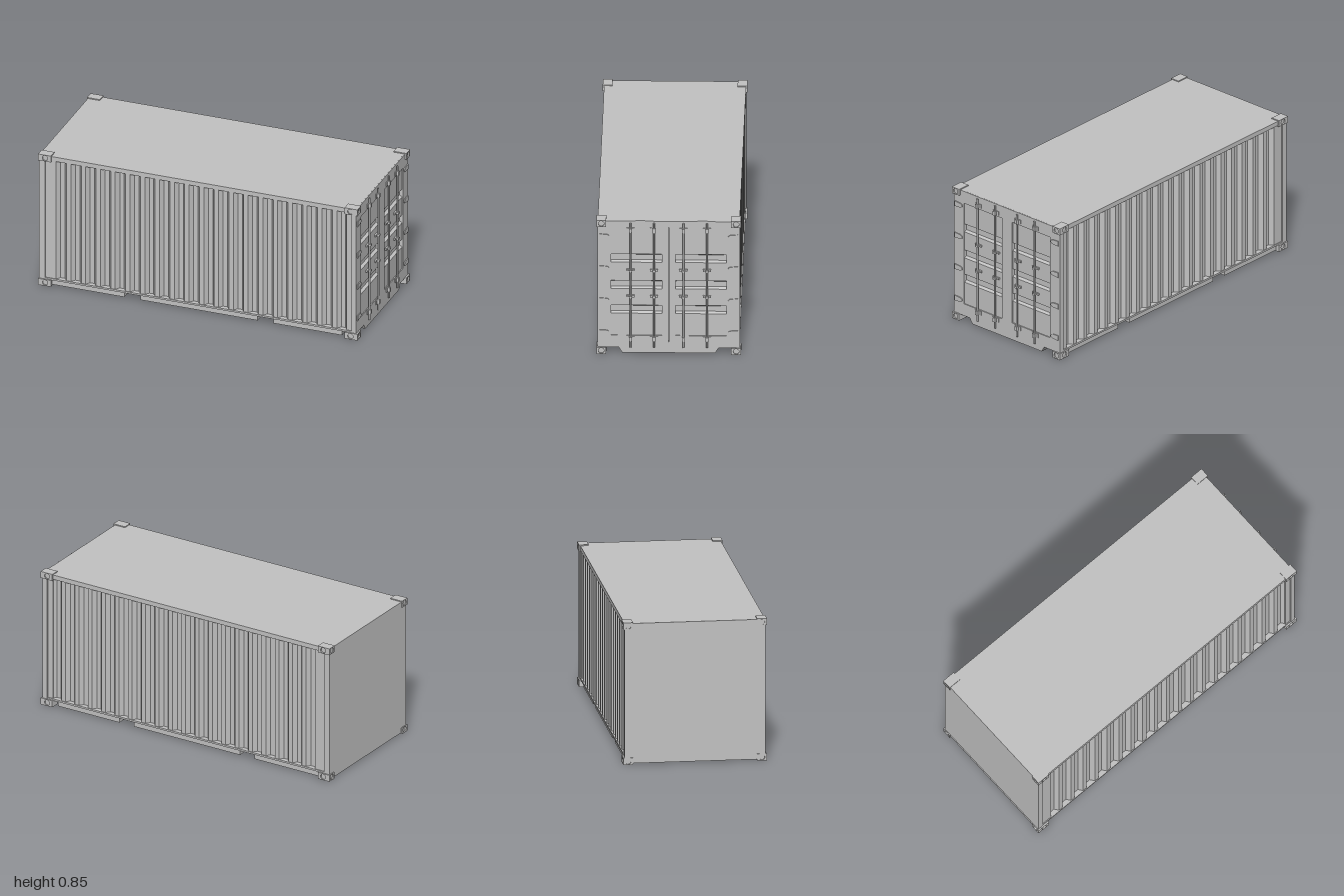
import * as THREE from 'three';

const steel = new THREE.MeshStandardMaterial({ color: 0xc2c2c2 });
steel.name = 'grey steel';

export function createModel() {
  const root = new THREE.Group();
  root.name = 'shippingContainer';

  const add = (name, geo, parent = root) => {
    const m = new THREE.Mesh(geo, steel);
    m.name = name;
    parent.add(m);
    return m;
  };
  // Box given by its min and max on each axis
  const box = (name, x0, x1, y0, y1, z0, z1, parent) =>
    add(name, new THREE.BoxGeometry(x1 - x0, y1 - y0, z1 - z0)
      .translate((x0 + x1) / 2, (y0 + y1) / 2, (z0 + z1) / 2), parent);
  const poly = (pts) => new THREE.Shape(pts.map(([a, b]) => new THREE.Vector2(a, b)));
  const rect = (a0, a1, b0, b1) => poly([[a0, b0], [a1, b0], [a1, b1], [a0, b1]]);
  const extrude = (shape, depth) =>
    new THREE.ExtrudeGeometry(shape, { depth, bevelEnabled: false, curveSegments: 10 });
  // Shape drawn in (-z, y), extruded from x0 to x1
  const extrudeX = (shape, x0, x1) => extrude(shape, x1 - x0).rotateY(Math.PI / 2).translate(x0, 0, 0);

  // Corrugated side walls: one plan outline for both sides
  const outer = 0.405, inner = 0.38, ribs = 20, pitch = 1.84 / ribs;
  const side = [];
  for (let i = 0; i < ribs; i++) {
    const x = -0.92 + i * pitch;
    side.push([x, outer], [x + 0.3 * pitch, outer], [x + 0.5 * pitch, inner], [x + 0.8 * pitch, inner]);
  }
  side.push([0.92, outer]);
  const plan = [...side, ...side.map(([x, z]) => [x, -z]).reverse()];
  add('corrugatedWalls', extrude(poly(plan), 0.775).rotateX(Math.PI / 2).translate(0, 0.82, 0));

  // Roof with top rails, floor slab with bottom rails, blank end wall
  box('roof', -0.995, 0.975, 0.815, 0.843, -0.412, 0.412);
  box('floor', -0.99, 0.975, 0.039, 0.05, -0.41, 0.41);
  box('endWall', -0.995, -0.96, 0.04, 0.843, -0.412, 0.412);
  box('endSill', -0.993, -0.92, 0.007, 0.04, -0.365, 0.365);

  // Stepped corner posts
  for (const s of [-1, 1]) {
    box('innerPost', -0.965, -0.915, 0.045, 0.82, s * 0.385 - 0.02, s * 0.385 + 0.02);
    box('doorInnerPost', 0.915, 0.95, 0.045, 0.82, s * 0.385 - 0.02, s * 0.385 + 0.02);
  }

  // Underframe with two open fork pockets
  [[-0.92, -0.47], [-0.37, 0.36], [0.46, 0.885]].forEach(([a, b]) =>
    box('underframe', a, b, 0.006, 0.04, -0.398, 0.398));
  add('doorSill', extrudeX(
    poly([[-0.27, 0.006], [0.27, 0.006], [0.29, 0.04], [-0.29, 0.04]]), 0.88, 0.98));

  // Door frame with openings for the two panels and the centre seam
  const frame = rect(-0.413, 0.413, 0.039, 0.8425);
  frame.holes.push(
    rect(-0.335, -0.04, 0.115, 0.765),
    rect(0.04, 0.335, 0.115, 0.765),
    rect(-0.0015, 0.0015, 0.075, 0.805));
  add('doorFrame', extrudeX(frame, 0.95, 0.98));
  box('seamBacking', 0.94, 0.962, 0.07, 0.81, -0.02, 0.02);

  // Recessed door panels with horizontal grooves
  const face = 0.974, deep = 0.957;
  const profile = [[0.94, 0.11], [face, 0.11]];
  for (const y of [0.253, 0.41, 0.578]) {
    profile.push([face, y], [deep, y + 0.009], [deep, y + 0.043], [face, y + 0.052]);
  }
  profile.push([face, 0.77], [0.94, 0.77]);
  for (const z of [-0.335, 0.04]) {
    add('doorPanel', extrude(poly(profile), 0.295).translate(0, 0, z));
  }

  // Locking rods with guides and end brackets
  for (const z of [-0.222, -0.085, 0.085, 0.222]) {
    const lock = new THREE.Group();
    lock.name = 'lockingRod';
    lock.position.z = z;
    root.add(lock);
    add('rod', new THREE.CylinderGeometry(0.0055, 0.0055, 0.79, 12).translate(0.989, 0.438, 0), lock);
    for (const y of [0.365, 0.531]) {
      box('guidePlate', 0.972, 0.984, y - 0.006, y + 0.006, -0.024, 0.024, lock);
      box('guideClamp', 0.975, 1.0, y - 0.006, y + 0.006, -0.009, 0.009, lock);
    }
    for (const y of [0.098, 0.788]) {
      box('bracketPlate', 0.975, 0.985, y - 0.013, y + 0.013, -0.023, 0.023, lock);
      box('bracketClamp', 0.975, 1.0, y - 0.013, y + 0.013, -0.008, 0.008, lock);
    }
  }

  // Hinges with a rounded inner end
  for (const s of [-1, 1]) {
    for (const y of [0.135, 0.338, 0.542, 0.745]) {
      const h = new THREE.Shape();
      const k = s > 0 ? 1 : -1;
      h.moveTo(k * 0.402, y - 0.016);
      h.lineTo(k * 0.365, y - 0.014);
      h.quadraticCurveTo(k * 0.345, y - 0.012, k * 0.345, y);
      h.quadraticCurveTo(k * 0.345, y + 0.012, k * 0.365, y + 0.014);
      h.lineTo(k * 0.402, y + 0.016);
      add('hinge', extrudeX(h, 0.978, 0.986));
    }
  }

  // Corner castings: a core with holed plates on the two outer faces
  const t = 0.008, L = 0.08, H = 0.041, W = 0.057;
  const holed = (w, r) => {
    const s = rect(-w / 2, w / 2, -H / 2, H / 2);
    s.holes.push(new THREE.Path().absarc(0, 0, r, 0, Math.PI * 2, true));
    return s;
  };
  for (const sx of [-1, 1]) for (const sz of [-1, 1]) for (const y of [H / 2, 0.849 - H / 2]) {
    const c = new THREE.Group();
    c.name = 'cornerCasting';
    c.position.set(sx > 0 ? 0.95 : -0.96, y, sz * (0.42 - W / 2));
    root.add(c);
    add('castingCore', new THREE.BoxGeometry(L - t, H, W - t)
      .translate(-sx * t / 2, 0, -sz * t / 2), c);
    const ex = sx > 0 ? L / 2 - t : -L / 2;
    add('castingEndPlate', extrudeX(holed(W, 0.017), ex, ex + t), c);
    const ez = sz > 0 ? W / 2 - t : -W / 2;
    add('castingSidePlate', extrude(holed(L - t, 0.017), t).translate(-sx * t / 2, 0, ez), c);
  }

  return root;
}
